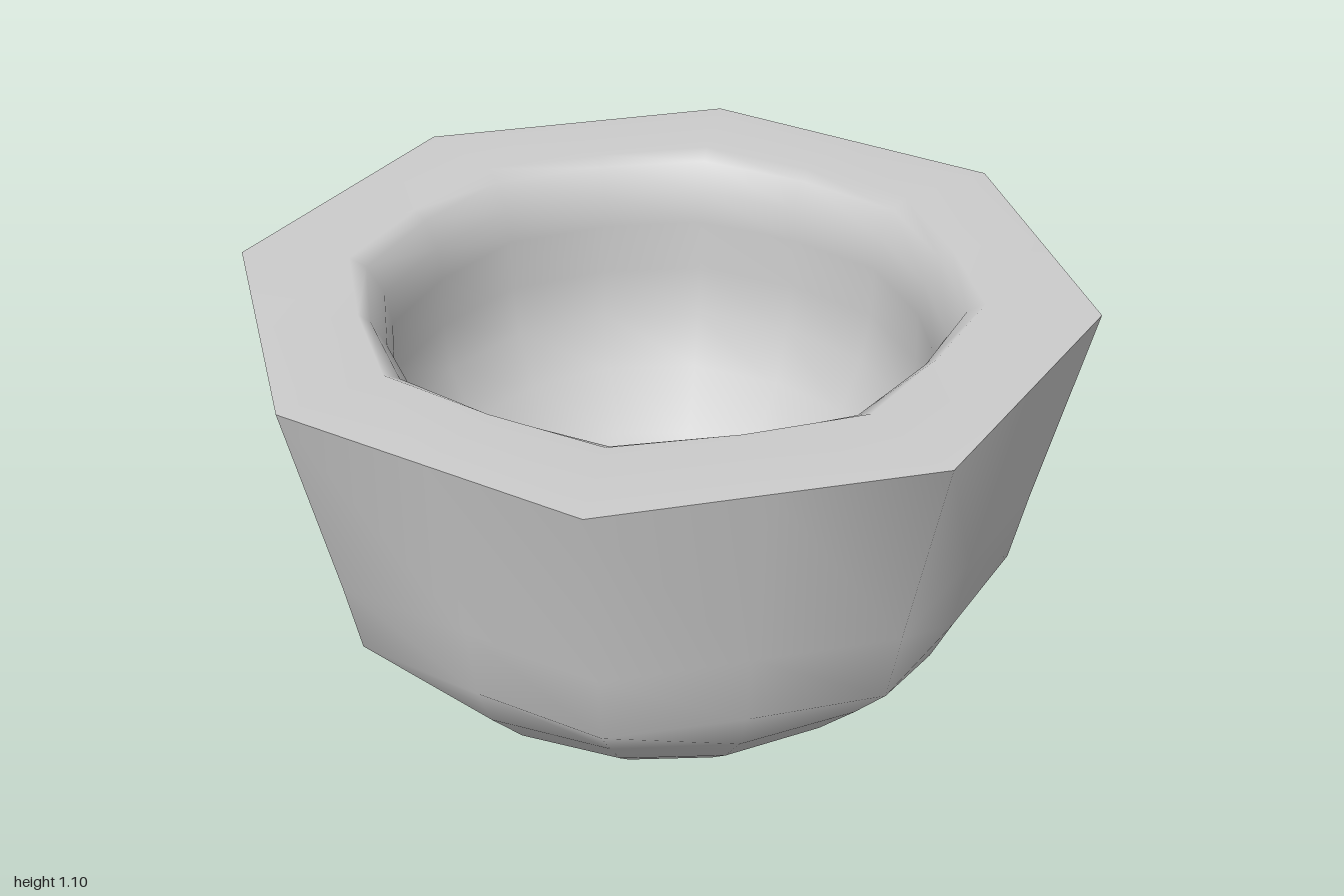
import * as THREE from 'three';
import { mergeVertices } from 'three/addons/utils/BufferGeometryUtils.js';

const SIDES = 16;

// Sweeps rows of [radius, height, roundness]; roundness 0 is an octagon, 1 is sixteen-sided.
function facetedShell(rows) {
  const raw = new THREE.LatheGeometry(rows.map(([r, y]) => new THREE.Vector2(r, y)), SIDES);
  const pos = raw.attributes.position;
  const flat = Math.cos(Math.PI / 8);
  for (let i = 0; i < pos.count; i++) {
    const row = i % rows.length;
    const side = Math.floor(i / rows.length);
    if (side % 2 === 1) {
      const k = THREE.MathUtils.lerp(flat, 1, rows[row][2]);
      pos.setX(i, pos.getX(i) * k);
      pos.setZ(i, pos.getZ(i) * k);
    }
  }
  raw.deleteAttribute('uv');
  raw.deleteAttribute('normal');
  const geometry = mergeVertices(raw, 1e-4);
  geometry.computeVertexNormals();
  return geometry;
}

export function createModel() {
  const group = new THREE.Group();
  group.name = 'bowl';
  const stone = new THREE.MeshStandardMaterial({ color: 0xcccccc });
  stone.name = 'grey stone';

  const add = (name, rows) => {
    const mesh = new THREE.Mesh(facetedShell(rows), stone);
    mesh.name = name;
    group.add(mesh);
  };

  // Rounded underside rising into flared octagonal walls
  add('outerWall', [
    [0, 0, 1], [0.18, 0.005, 1], [0.36, 0.045, 1], [0.5, 0.09, 1],
    [0.62, 0.19, 1], [0.74, 0.312, 0.9], [0.84, 0.42, 0.15], [0.88, 0.6, 0], [1, 1.09, 0],
  ]);

  // Flat rim, rolled lip and a round hollow
  add('rimAndHollow', [
    [1, 1.09, 0], [0.74, 1.097, 0.3], [0.7, 1.075, 0.5], [0.66, 1.01, 0.6],
    [0.645, 0.93, 0.65], [0.645, 0.8, 0.75], [0.62, 0.68, 0.9],
    [0.56, 0.55, 1], [0.45, 0.42, 1], [0.3, 0.32, 1], [0.15, 0.27, 1], [0, 0.25, 1],
  ]);

  return group;
}
